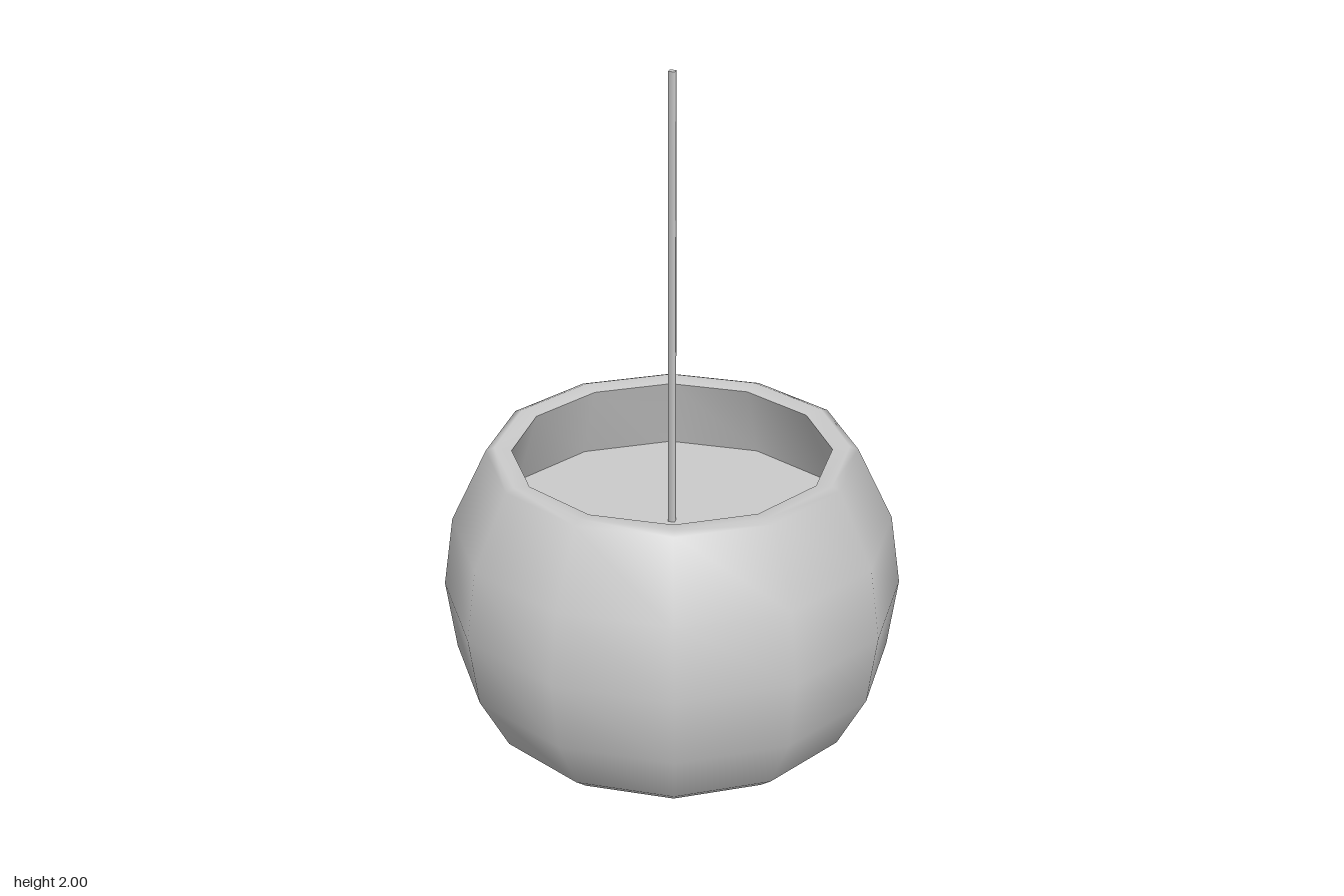
import * as THREE from 'three';
import { mergeVertices } from 'three/addons/utils/BufferGeometryUtils.js';

const SIDES = 12;

// Turned part with smooth, area-weighted normals and no seam
function lathe(name, profile, material) {
  const points = profile.map(([r, y]) => new THREE.Vector2(r, y));
  const turned = new THREE.LatheGeometry(points, SIDES);
  turned.deleteAttribute('uv');
  turned.deleteAttribute('normal');
  const geometry = mergeVertices(turned);
  geometry.computeVertexNormals();
  const mesh = new THREE.Mesh(geometry, material);
  mesh.name = name;
  return mesh;
}

export function createModel() {
  const group = new THREE.Group();
  group.name = 'pot';
  const material = new THREE.MeshStandardMaterial({ color: 0xcccccc });

  // Rounded twelve-sided body, from the base up over the softly rounded rim
  group.add(lathe('body', [
    [0, 0], [0.505, 0], [0.555, 0.04], [0.645, 0.21], [0.675, 0.425],
    [0.645, 0.64], [0.54, 0.862], [0.515, 0.872], [0.465, 0.862],
  ], material));

  // Inner wall, widening from the rim down to the filling
  group.add(lathe('innerWall', [[0.465, 0.862], [0.535, 0.632]], material));

  // Flat filling inside the bowl
  group.add(lathe('filling', [[0.535, 0.632], [0, 0.632]], material));

  // Thin four-sided rod standing in the middle, corners on the axes
  const rodBottom = 0.62, rodTop = 2;
  const rod = new THREE.Mesh(
    new THREE.CylinderGeometry(0.0135, 0.0135, rodTop - rodBottom, 4), material);
  rod.name = 'rod';
  rod.position.y = (rodTop + rodBottom) / 2;
  group.add(rod);

  return group;
}
